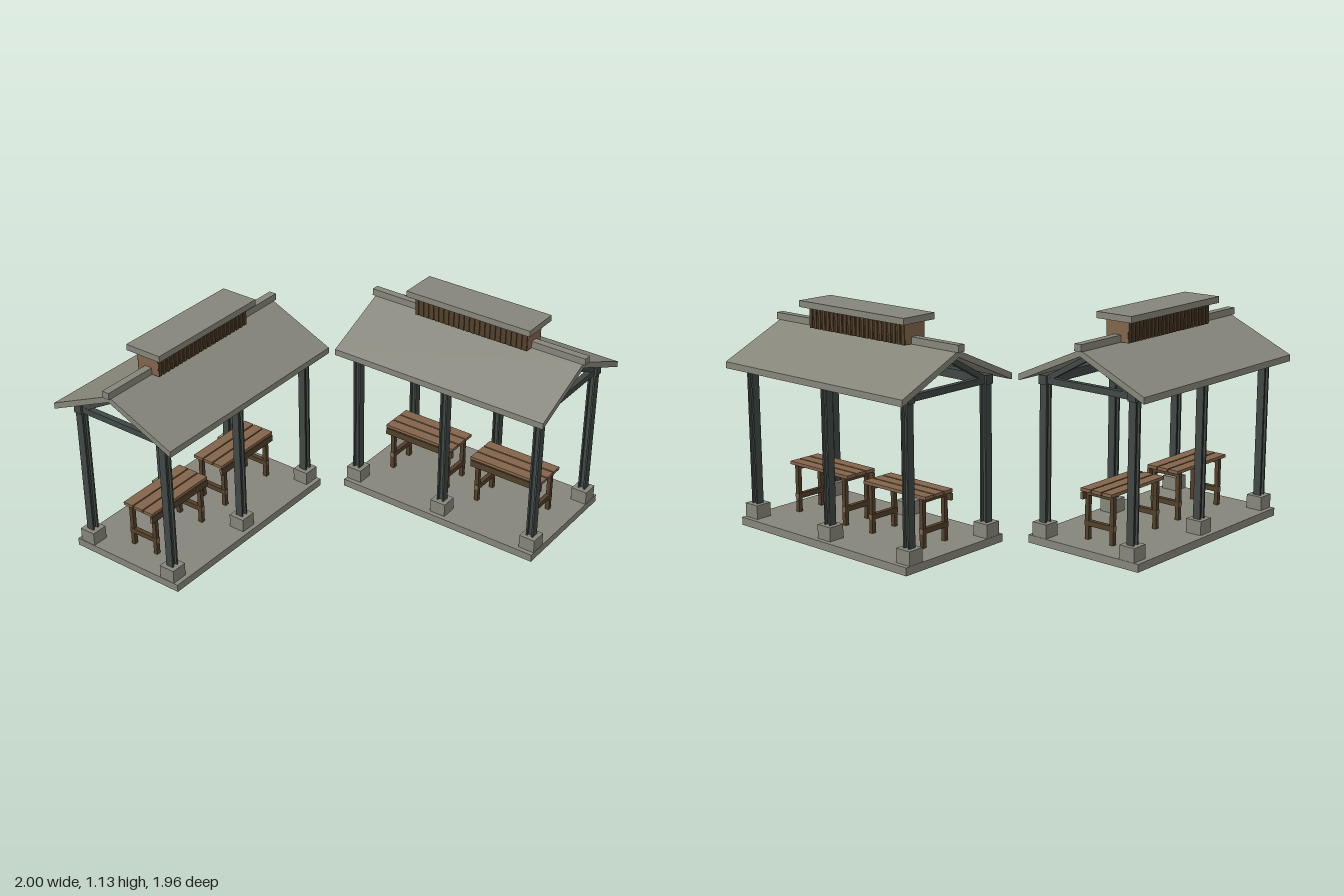
import * as THREE from 'three';

const mat = (name, color) => {
  const m = new THREE.MeshStandardMaterial({ color });
  m.name = name;
  return m;
};

export function createModel() {
  const stone = mat('stoneGrey', 0x85857a);
  const steel = mat('darkSteel', 0x3f4744);
  const wood = mat('lightWood', 0x82644a);
  const darkWood = mat('darkWood', 0x523f2a);
  // Dark timber with light end grain along x or z
  const endsX = [wood, wood, darkWood, darkWood, darkWood, darkWood];
  const endsZ = [darkWood, darkWood, darkWood, darkWood, wood, wood];

  const box = (parent, name, material, w, h, d, x, y, z) => {
    const m = new THREE.Mesh(new THREE.BoxGeometry(w, h, d), material);
    m.name = name;
    m.position.set(x, y, z);
    parent.add(m);
    return m;
  };

  function createTable() {
    const g = new THREE.Group();
    g.name = 'table';
    for (const i of [-1, 0, 1]) box(g, 'topPlank', wood, 0.415, 0.016, 0.057, 0, 0.292, i * 0.064);
    for (const sx of [-1, 1]) {
      for (const sz of [-1, 1]) box(g, 'leg', darkWood, 0.022, 0.244, 0.022, sx * 0.17, 0.162, sz * 0.074);
      box(g, 'stretcher', endsZ, 0.024, 0.026, 0.174, sx * 0.17, 0.122, 0);
      box(g, 'topBearer', darkWood, 0.022, 0.022, 0.126, sx * 0.17, 0.273, 0);
    }
    box(g, 'apron', endsX, 0.415, 0.035, 0.014, 0, 0.261, 0.086);
    return g;
  }

  // Pavilion with its ridge along x
  function createPavilion(name) {
    const g = new THREE.Group();
    g.name = name;
    box(g, 'slab', stone, 1.15, 0.04, 0.66, 0, 0.02, 0);

    // Posts of H section on stone footings
    for (const x of [-0.53, 0, 0.53]) {
      for (const z of [-0.2625, 0.2625]) {
        box(g, 'footing', stone, 0.086, 0.07, 0.086, x, 0.075, z);
        const post = new THREE.Group();
        post.name = 'post';
        post.position.set(x, 0.45, z);
        for (const s of [-1, 1]) box(post, 'flange', steel, 0.009, 0.7, 0.04, s * 0.0155, 0, 0);
        box(post, 'web', steel, 0.022, 0.7, 0.014, 0, 0, 0);
        g.add(post);
      }
      // Truss: tie beam and two sloping struts
      box(g, 'tieBeam', steel, 0.03, 0.032, 0.53, x, 0.81, 0);
      for (const s of [-1, 1]) {
        const dz = 0.25, dy = 0.14;
        const strut = box(g, 'strut', steel, 0.028, 0.026, Math.hypot(dz, dy), x, 0.885, s * dz / 2);
        strut.rotation.x = s * Math.atan2(dy, dz);
      }
    }
    for (const s of [-1, 1]) box(g, 'eaveBeam', steel, 1.115, 0.045, 0.045, 0, 0.8125, s * 0.2625);

    // Gable roof with vertical eave edges
    const roofShape = new THREE.Shape([
      [-0.367, 0.803], [0, 0.968], [0.367, 0.803], [0.367, 0.835], [0, 1.0], [-0.367, 0.835],
    ].map(([a, b]) => new THREE.Vector2(a, b)));
    const roofGeo = new THREE.ExtrudeGeometry(roofShape, { depth: 1.21, bevelEnabled: false });
    roofGeo.translate(0, 0, -0.605).rotateY(Math.PI / 2);
    const roof = new THREE.Mesh(roofGeo, stone);
    roof.name = 'roof';
    g.add(roof);
    box(g, 'ridgeCap', stone, 1.24, 0.035, 0.04, 0, 1.012, 0);

    // Slatted roof vent
    box(g, 'ventBox', endsX, 0.65, 0.105, 0.124, 0, 1.0475, 0);
    for (const s of [-1, 1])
      for (let i = 0; i < 22; i++)
        box(g, 'ventSlat', darkWood, 0.018, 0.105, 0.006, -0.315 + i * 0.03, 1.0475, s * 0.064);
    box(g, 'ventCap', stone, 0.712, 0.032, 0.205, 0, 1.115, 0);

    for (const s of [-1, 1]) {
      const table = createTable();
      table.position.x = s * 0.264;
      g.add(table);
    }
    return g;
  }

  const model = new THREE.Group();
  model.name = 'picnicPavilions';
  const back = createPavilion('backPavilion');
  back.position.set(0.375, 0, -0.617);
  const front = createPavilion('frontPavilion');
  front.position.set(-0.633, 0, 0.36);
  front.rotation.y = Math.PI / 2;
  model.add(back, front);
  return model;
}
